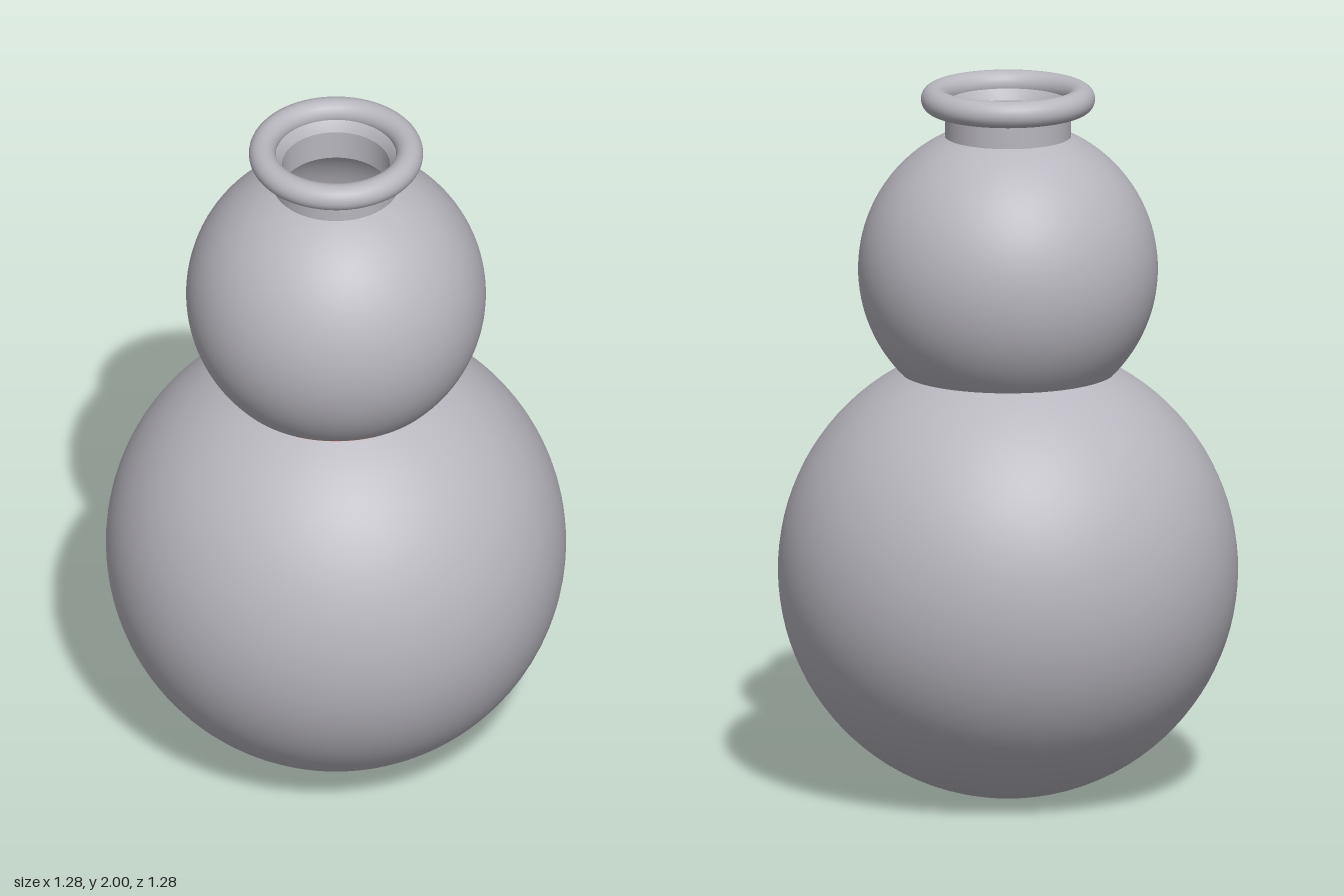
import * as THREE from 'three';

const LOWER = { y: 0.625, r: 0.64 };
const UPPER = { y: 1.48, r: 0.417 };
const WALL = 0.03;

// Arc of a bulb's profile between two heights
function arc(y, r, y0, y1, steps = 40) {
  const a0 = Math.asin((y0 - y) / r), a1 = Math.asin((y1 - y) / r);
  return Array.from({ length: steps + 1 }, (_, i) => {
    const a = a0 + (a1 - a0) * i / steps;
    return new THREE.Vector2(r * Math.cos(a), y + r * Math.sin(a));
  });
}

const points = (...list) => list.map(([x, y]) => new THREE.Vector2(x, y));

export function createModel() {
  const group = new THREE.Group();
  const grey = new THREE.MeshStandardMaterial({ color: 0xb8b6be });
  const orange = new THREE.MeshStandardMaterial({ color: 0xe0692d });

  const add = (name, geometry, material, y = 0) => {
    const mesh = new THREE.Mesh(geometry, material);
    mesh.name = name;
    mesh.position.y = y;
    group.add(mesh);
  };
  const turn = (name, profile) => add(name, new THREE.LatheGeometry(profile, 96), grey);

  // Outer bulbs and the small flat foot
  turn('lowerBulb', arc(LOWER.y, LOWER.r, 0, 1.19));
  turn('upperBulb', arc(UPPER.y, UPPER.r, 1.19, 1.858));
  turn('base', points([0, 0], [0.138, 0]));

  // Neck, sloping inner lip and neck bore
  turn('neck', points([0.175, 1.85], [0.175, 1.96]));
  turn('innerLip', points([0.175, 1.96], [0.163, 1.95], [0.15, 1.925]));
  turn('neckBore', points([0.15, 1.925], [0.15, 1.838]));

  // Rolled rim
  const rim = new THREE.TorusGeometry(0.205, 0.0375, 24, 96);
  rim.rotateX(Math.PI / 2);
  add('rim', rim, grey, 1.9625);

  // Hollow interior
  turn('upperInside', arc(UPPER.y, UPPER.r - WALL, 1.18, 1.838).reverse());
  turn('lowerInside', arc(LOWER.y, LOWER.r - WALL, LOWER.y - LOWER.r + WALL, 1.18).reverse());

  // Orange filling seen through the mouth
  add('lowerFilling', new THREE.SphereGeometry(0.28, 48, 32), orange, 0.63);
  add('upperFilling', new THREE.SphereGeometry(0.112, 48, 32), orange, 0.97);

  return group;
}
